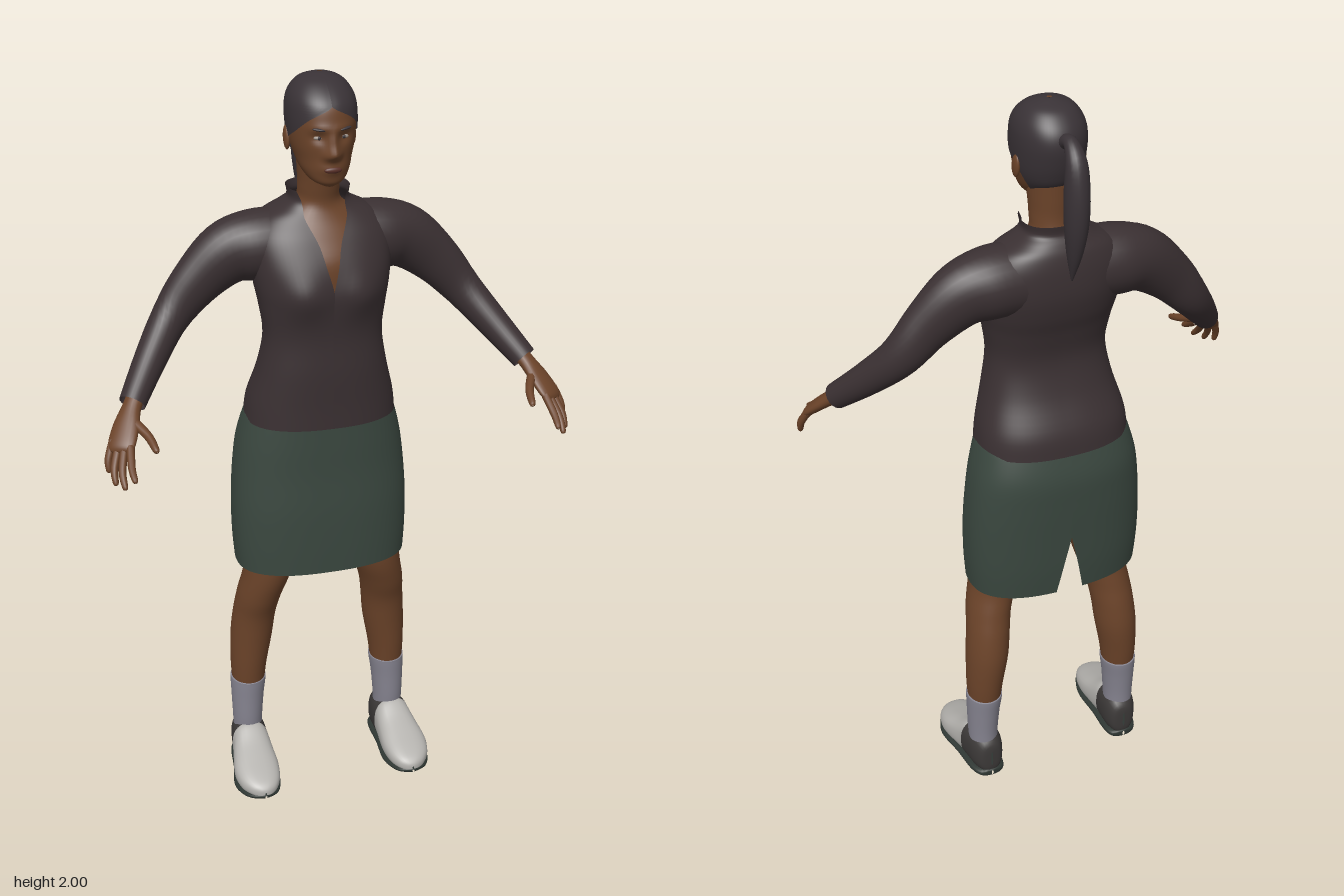
import * as THREE from 'three';

const mat = (name, color, side = THREE.FrontSide) => {
  const m = new THREE.MeshStandardMaterial({ color, side });
  m.name = name;
  return m;
};
const skin = mat('brown skin', 0x6b4329);
const hair = mat('dark hair', 0x393236, THREE.DoubleSide);
const jacketCloth = mat('plum black jacket', 0x3a3032, THREE.DoubleSide);
const skirtCloth = mat('dark green skirt', 0x3a473f, THREE.DoubleSide);
const sockCloth = mat('lilac grey sock', 0x85838f);
const shoeLight = mat('light grey shoe', 0xb4b2ae);
const shoeDark = mat('charcoal shoe', 0x3c3938);
const soleDark = mat('dark sole', 0x2e3632);
const eyeWhite = mat('eye white', 0x9a8f86);
const lipColor = mat('lip', 0x5a3028);

const V = (x, y, z) => new THREE.Vector3(x, y, z);
const spow = (v, e) => Math.sign(v) * Math.abs(v) ** e;
const bump = (d, s) => Math.exp(-d * d / (2 * s * s));

// Smoothly resample a table of cross-section parameters
function resample(rows, steps) {
  const out = [], last = rows.length - 1;
  for (let k = 0; k <= last * steps; k++) {
    const i = Math.min(Math.floor(k / steps), last - 1), t = k / steps - i;
    const [a, b, c, d] = [i - 1, i, i + 1, i + 2].map(n => rows[Math.max(0, Math.min(last, n))]);
    out.push(b.map((_, n) => 0.5 * (2 * b[n] + (c[n] - a[n]) * t
      + (2 * a[n] - 5 * b[n] + 4 * c[n] - d[n]) * t * t
      + (3 * b[n] - a[n] - 3 * c[n] + d[n]) * t * t * t)));
  }
  return out;
}

// Join rings of points into one smooth surface
function surface(rings, closed = true) {
  const n = rings[0].length, pos = [], index = [];
  rings.forEach(r => r.forEach(p => pos.push(p.x, p.y, p.z)));
  for (let j = 0; j < rings.length - 1; j++) {
    for (let i = 0; i < (closed ? n : n - 1); i++) {
      const a = j * n + i, b = j * n + (i + 1) % n;
      index.push(a, b, b + n, a, b + n, a + n);
    }
  }
  const g = new THREE.BufferGeometry();
  g.setAttribute('position', new THREE.Float32BufferAttribute(pos, 3));
  g.setIndex(index);
  g.computeVertexNormals();
  return g;
}

// Upright loft; rows: [y, halfWidth, zFront, zBack, x, gapAngle], bottom to top
function upright(rows, { e = 1, n = 40, steps = 5, open = false, start = 0, rule } = {}) {
  const rings = resample(rows, steps).map(([y, w, zf, zb, x0 = 0, gap = 0]) => {
    const g = Math.max(0, gap), ring = [];
    for (let i = 0; i < n; i++) {
      const a = start + (open ? g + i / (n - 1) * (2 * Math.PI - 2 * g) : i / n * 2 * Math.PI);
      const p = V(x0 + w * spow(Math.sin(a), e), y, (zf + zb) / 2 + (zf - zb) / 2 * spow(Math.cos(a), e));
      if (rule) rule(p, Math.cos(a));
      ring.push(p);
    }
    return ring;
  });
  return surface(rings, !open);
}

// Loft along a path; rows: [x, y, z, radiusU, radiusV], U lies along ref
function limb(rows, ref, n = 20, steps = 5) {
  const pts = resample(rows, steps);
  return surface(pts.map((r, k) => {
    const p = pts[Math.max(0, k - 1)], q = pts[Math.min(pts.length - 1, k + 1)];
    const t = V(q[0] - p[0], q[1] - p[1], q[2] - p[2]).normalize();
    const u = ref.clone().addScaledVector(t, -ref.dot(t)).normalize();
    const v = t.clone().cross(u);
    return Array.from({ length: n }, (_, i) => {
      const a = i / n * 2 * Math.PI;
      return V(r[0], r[1], r[2]).addScaledVector(u, Math.max(0.001, r[3]) * Math.cos(a))
        .addScaledVector(v, Math.max(0.001, r[4]) * Math.sin(a));
    });
  }));
}

// Shoe loft running heel to toe; rows: [z, halfWidth, bottom, top, x]
function shoeLoft(rows) {
  return surface(resample(rows, 4).map(([z, w, lo, hi, x]) => Array.from({ length: 28 }, (_, i) => {
    const a = i / 28 * 2 * Math.PI;
    return V(x + w * spow(Math.cos(a), 0.8), (lo + hi) / 2 + (hi - lo) / 2 * spow(Math.sin(a), 0.8), z);
  })));
}

function add(parent, name, geo, material) {
  const m = new THREE.Mesh(geo, material);
  m.name = name;
  parent.add(m);
  return m;
}
function blob(parent, name, material, p, s) {
  const m = add(parent, name, new THREE.SphereGeometry(1, 20, 14), material);
  m.position.set(...p);
  m.scale.set(...s);
  return m;
}

function makeHead() {
  const head = new THREE.Group();
  head.name = 'head';
  const rows = [[1.742, .015, .035, -.01], [1.755, .042, .048, -.06], [1.78, .06, .05, -.1],
    [1.81, .07, .051, -.135], [1.84, .078, .053, -.15], [1.875, .082, .055, -.16],
    [1.91, .083, .052, -.165], [1.94, .08, .043, -.16], [1.965, .07, .022, -.145],
    [1.985, .05, -.01, -.12], [1.997, .02, -.045, -.085], [2, .002, -.063, -.067]];
  // Nose, brow, eye sockets, lips and chin pushed out of the face
  const face = (p, front) => {
    if (front < 0.3) return;
    const x = Math.abs(p.x), y = p.y;
    p.z += .024 * bump(x, .011) * bump(y - 1.828, .012) + .012 * bump(x, .009) * bump(y - 1.855, .018)
      + .006 * bump(x - .016, .007) * bump(y - 1.823, .008) - .009 * bump(x - .032, .014) * bump(y - 1.866, .01)
      + .004 * bump(x - .025, .02) * bump(y - 1.889, .007) + .009 * bump(x, .02) * bump(y - 1.79, .012);
  };
  add(head, 'face', upright(rows, { e: .93, n: 96, steps: 6, rule: face }), skin);
  // Swept-back hair shell with an open hairline around the face
  const gaps = [2.3, 2.0, 1.75, 1.15, .62, 0, 0, 0, 0, 0];
  const shell = rows.slice(2).map(([y, w, zf, zb], i) => [y + (i > 6 ? .002 : 0), w + .004, zf + .004, zb - .004, 0, gaps[i]]);
  add(head, 'hair', upright(shell, { e: .93, n: 64, steps: 5, open: true }), hair);
  add(head, 'ponytail', limb([[0, 1.925, -.15, .02, .02], [0, 1.937, -.19, .018, .016], [0, 1.9, -.222, .026, .026],
    [0, 1.83, -.228, .03, .036], [0, 1.75, -.226, .028, .036], [0, 1.67, -.217, .018, .024],
    [0, 1.595, -.205, .002, .002]], V(1, 0, 0)), hair);
  for (const s of [-1, 1]) {
    blob(head, 'ear', skin, [s * .084, 1.845, -.065], [.008, .03, .018]).rotation.x = -.2;
    blob(head, 'eyeWhite', eyeWhite, [s * .032, 1.866, .037], [.012, .005, .007]);
    blob(head, 'iris', hair, [s * .031, 1.866, .0425], [.004, .0045, .003]);
    blob(head, 'eyebrow', hair, [s * .033, 1.888, .0485], [.017, .0035, .006]).rotation.set(0, s * .3, s * .12);
  }
  blob(head, 'lips', lipColor, [0, 1.789, .056], [.022, .008, .007]);
  return head;
}

function makeArm() {
  const arm = new THREE.Group();
  arm.name = 'arm';
  add(arm, 'sleeve', limb([[.09, 1.57, -.09, .09, .09], [.17, 1.568, -.092, .09, .088], [.24, 1.55, -.092, .082, .07],
    [.32, 1.485, -.085, .066, .052], [.39, 1.405, -.07, .052, .046], [.455, 1.325, -.01, .043, .041],
    [.52, 1.243, .068, .034, .034]], V(0, 1, 0), 28), jacketCloth);
  const spread = V(.64, .13, -.76);
  add(arm, 'palm', limb([[.49, 1.28, .035, .024, .022], [.523, 1.238, .077, .025, .019], [.545, 1.205, .113, .035, .017],
    [.564, 1.172, .148, .037, .014], [.57, 1.16, .16, .026, .007], [.571, 1.158, .162, .001, .001]], spread), skin);
  // Four fingers and the thumb: [base, middle, tip]
  const digits = [
    [.545, 1.172, .164, .552, 1.138, .212, .55, 1.115, .25],
    [.557, 1.17, .152, .573, 1.125, .196, .573, 1.09, .232],
    [.569, 1.172, .14, .589, 1.125, .175, .591, 1.089, .2],
    [.581, 1.178, .127, .598, 1.138, .145, .6, 1.105, .157],
    [.527, 1.215, .11, .5, 1.194, .162, .488, 1.173, .217]];
  digits.forEach((d, i) => {
    const r = i === 4 ? .011 : .0095;
    const at = (k, s) => [d[k], d[k + 1], d[k + 2], s * r, s * r];
    const end = at(6, .1), near = end.map((v, n) => n < 3 ? v - (v - d[3 + n]) * .15 : r * .75);
    add(arm, i === 4 ? 'thumb' : 'finger', limb([at(0, 1.1), at(3, 1), near, end], spread, 12, 4), skin);
  });
  return arm;
}

function makeLeg() {
  const leg = new THREE.Group();
  leg.name = 'leg';
  add(leg, 'bareLeg', upright([[.26, .045, -.045, -.147, .207], [.33, .051, -.037, -.156, .204],
    [.42, .058, -.028, -.162, .195], [.5, .059, -.016, -.154, .187], [.57, .061, .008, -.14, .176],
    [.66, .067, .03, -.13, .153], [.8, .085, .035, -.16, .13], [.95, .095, .03, -.17, .11]]), skin);
  add(leg, 'sock', upright([[.09, .04, -.05, -.14, .212], [.15, .042, -.044, -.141, .212], [.22, .046, -.042, -.147, .21],
    [.272, .05, -.04, -.153, .207], [.28, .047, -.043, -.149, .207], [.28, .03, -.07, -.12, .207]]), sockCloth);
  const join = [-.055, .052, .006, .138, .215];
  add(leg, 'shoeHeel', shoeLoft([[-.153, .003, .04, .09, .208], [-.147, .03, .015, .115, .208],
    [-.12, .045, .006, .137, .21], [-.085, .05, .006, .14, .212], join]), shoeDark);
  add(leg, 'shoeFront', shoeLoft([join, [-.04, .053, .006, .134, .215], [0, .059, .006, .11, .218],
    [.05, .064, .006, .088, .221], [.095, .056, .009, .07, .221], [.125, .038, .014, .056, .219],
    [.139, .018, .018, .044, .218], [.143, .002, .025, .034, .218]]), shoeLight);
  add(leg, 'sole', shoeLoft([[-.155, .003, .006, .02, .208], [-.147, .034, 0, .024, .208], [-.11, .049, 0, .024, .211],
    [-.03, .055, 0, .022, .216], [.05, .066, 0, .022, .221], [.1, .055, .004, .024, .221],
    [.13, .036, .01, .026, .219], [.145, .003, .017, .026, .218]]), soleDark);
  return leg;
}

export function createModel() {
  const model = new THREE.Group();
  model.name = 'woman';
  model.add(makeHead());

  // Neck and chest showing in the open collar
  add(model, 'neckAndChest', upright([[1.46, .13, .05, -.13], [1.54, .14, .048, -.16], [1.6, .14, .016, -.16],
    [1.645, .1, -.012, -.155], [1.68, .058, -.024, -.142], [1.72, .053, -.018, -.135],
    [1.77, .055, -.008, -.137], [1.82, .058, 0, -.14]]), skin);

  // Jacket with front seam opening into a V-neck and a standing collar
  const bust = (p, front) => {
    if (front > 0) p.z += front * .02 * bump(Math.abs(p.x) - .08, .045) * bump(p.y - 1.465, .04);
  };
  add(model, 'jacket', upright([[1.1, .202, .06, -.216, 0, 0], [1.16, .194, .06, -.206, 0, 0], [1.25, .17, .062, -.165, 0, 0],
    [1.34, .155, .06, -.145, 0, 0], [1.42, .164, .066, -.16, 0, 0], [1.48, .175, .068, -.18, 0, 0],
    [1.54, .182, .058, -.192, 0, .05], [1.6, .18, .03, -.19, 0, .12], [1.645, .15, 0, -.18, 0, .28],
    [1.672, .1, -.014, -.166, 0, .5], [1.69, .078, -.016, -.153, 0, .75], [1.715, .08, -.013, -.156, 0, .95]],
  { e: .82, n: 72, open: true, rule: bust }), jacketCloth);

  // Skirt with a slit at the back hem
  add(model, 'skirt', upright([[.67, .235, .058, -.215, 0, .1], [.75, .24, .058, -.222, 0, .05], [.85, .24, .056, -.226, 0, 0],
    [.95, .233, .05, -.229, 0, 0], [1.03, .222, .048, -.228, 0, 0], [1.1, .204, .046, -.211, 0, 0],
    [1.13, .192, .046, -.2, 0, 0]], { e: .8, n: 64, open: true, start: Math.PI }), skirtCloth);

  // Limbs, built on the left and mirrored to the right
  for (const s of [1, -1]) {
    const side = new THREE.Group();
    side.name = s > 0 ? 'leftLimbs' : 'rightLimbs';
    side.add(makeArm(), makeLeg());
    side.scale.x = s;
    model.add(side);
  }
  return model;
}
